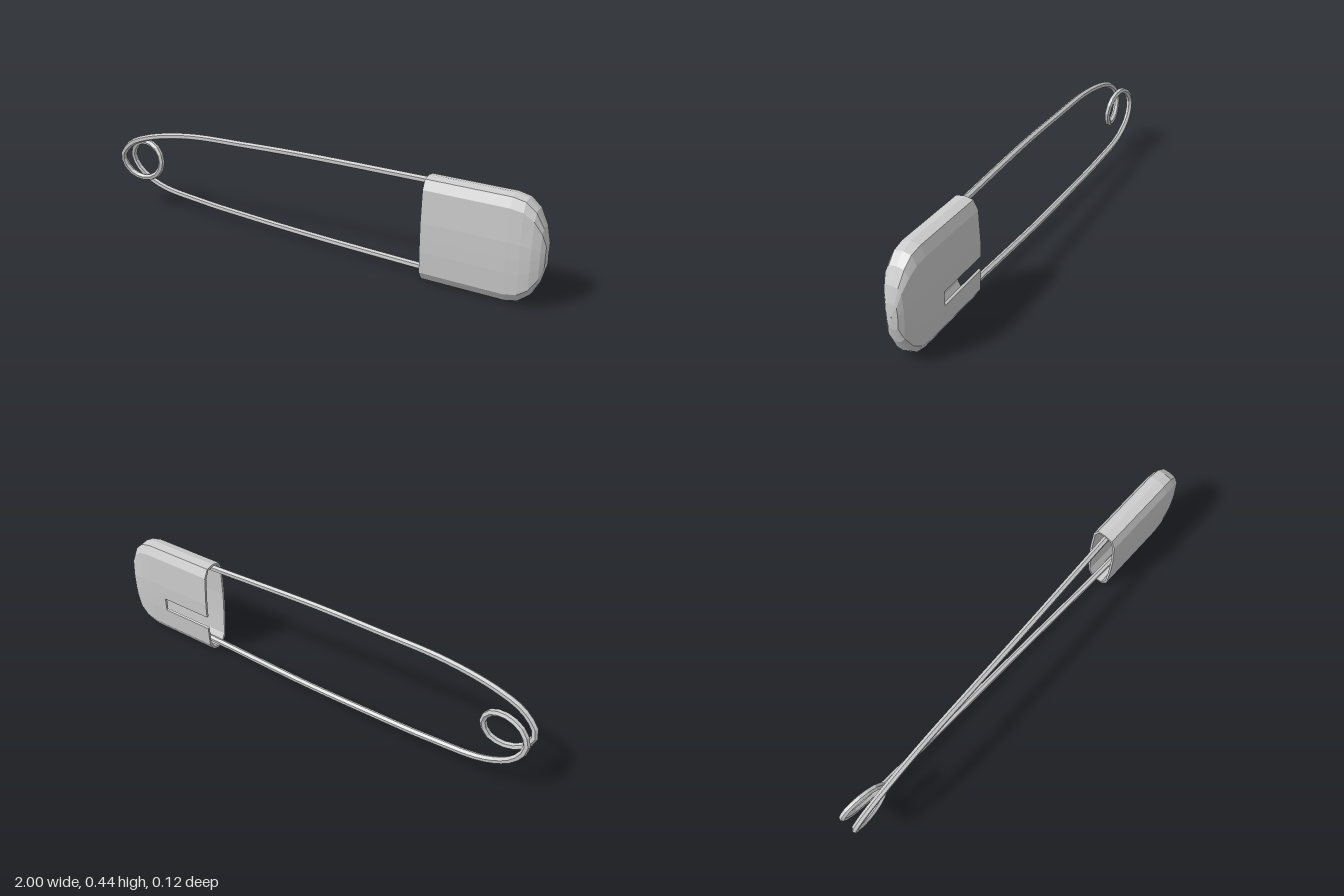
import * as THREE from 'three';

const MID = 0.2175; // mid height of the clasp

// Half outline of the clasp section: [half depth, height], bottom to top
const SIDE = [[0, 0], [0.03, 0.01], [0.052, 0.045], [0.058, 0.135], [0.06, 0.195],
  [0.061, 0.26], [0.055, 0.39], [0.036, 0.428], [0, 0.435]];

// Stations along the clasp: [x, height scale, depth scale]
const STATIONS = [[0.52, 1, 1], [0.77, 1, 1], [0.86, 1, 1], [0.91, 0.95, 0.95],
  [0.95, 0.79, 0.84], [0.98, 0.52, 0.62], [0.995, 0.24, 0.38], [0.999, 0.01, 0.01]];

function claspGeometry() {
  const section = [...SIDE, ...SIDE.slice(1, -1).reverse().map(([z, y]) => [-z, y])];
  const n = section.length;
  const slot = 12; // back strip left open between the first two stations
  const point = (i, j, inner) => {
    const [x, h, d] = STATIONS[i];
    const [z, y] = section[j % n];
    return [
      inner && i > 1 ? x - 0.01 : x,
      MID + (y - MID) * h * (inner ? 0.955 : 1),
      z * d * (inner ? 0.84 : 1),
    ];
  };
  const pos = [];
  const quad = (a, b, c, d) => pos.push(...a, ...b, ...c, ...a, ...c, ...d);
  const rim = (i, j, k, l) =>
    quad(point(i, j, false), point(k, l, false), point(k, l, true), point(i, j, true));

  for (let i = 0; i < STATIONS.length - 1; i++) {
    for (let j = 0; j < n; j++) {
      if (i === 0 && j === slot) continue;
      for (const inner of [false, true]) {
        const a = point(i, j, inner), b = point(i, j + 1, inner);
        const c = point(i + 1, j + 1, inner), d = point(i + 1, j, inner);
        if (inner) quad(a, b, c, d);
        else quad(a, d, c, b);
      }
      if (i === 0) rim(0, j, 0, j + 1); // open mouth
    }
  }
  // Edges of the slot
  rim(0, slot, 1, slot);
  rim(1, slot, 1, slot + 1);
  rim(1, slot + 1, 0, slot + 1);

  const geo = new THREE.BufferGeometry();
  geo.setAttribute('position', new THREE.Float32BufferAttribute(pos, 3));
  geo.computeVertexNormals();
  return geo;
}

export function createModel() {
  const group = new THREE.Group();
  const material = new THREE.MeshStandardMaterial({
    color: 0xcccccc, flatShading: true, side: THREE.DoubleSide,
  });

  const clasp = new THREE.Mesh(claspGeometry(), material);
  clasp.name = 'clasp';
  group.add(clasp);

  // One bent wire: upper arm, spring coil, lower arm
  const path = new THREE.CatmullRomCurve3([
    [0.75, 0.412, 0], [0.52, 0.414, 0.006], [0, 0.418, 0.024], [-0.3, 0.412, 0.031],
    [-0.6, 0.4, 0.038], [-0.82, 0.358, 0.042], [-0.93, 0.31, 0.041],
    [-0.984, 0.24, 0.035], [-0.95, 0.172, 0.026],
    [-0.875, 0.15, 0.016], [-0.813, 0.177, 0.006], [-0.791, 0.235, 0],
    [-0.817, 0.288, -0.007], [-0.88, 0.311, -0.016], [-0.95, 0.29, -0.026],
    [-0.984, 0.23, -0.034], [-0.95, 0.16, -0.04], [-0.84, 0.1, -0.042],
    [-0.6, 0.07, -0.038], [-0.3, 0.055, -0.031], [0, 0.046, -0.024],
    [0.52, 0.043, -0.006], [0.75, 0.043, 0],
  ].map((p) => new THREE.Vector3(...p)), false, 'centripetal');
  const wire = new THREE.Mesh(new THREE.TubeGeometry(path, 120, 0.014, 6), material);
  wire.name = 'springWire';
  group.add(wire);

  return group;
}
